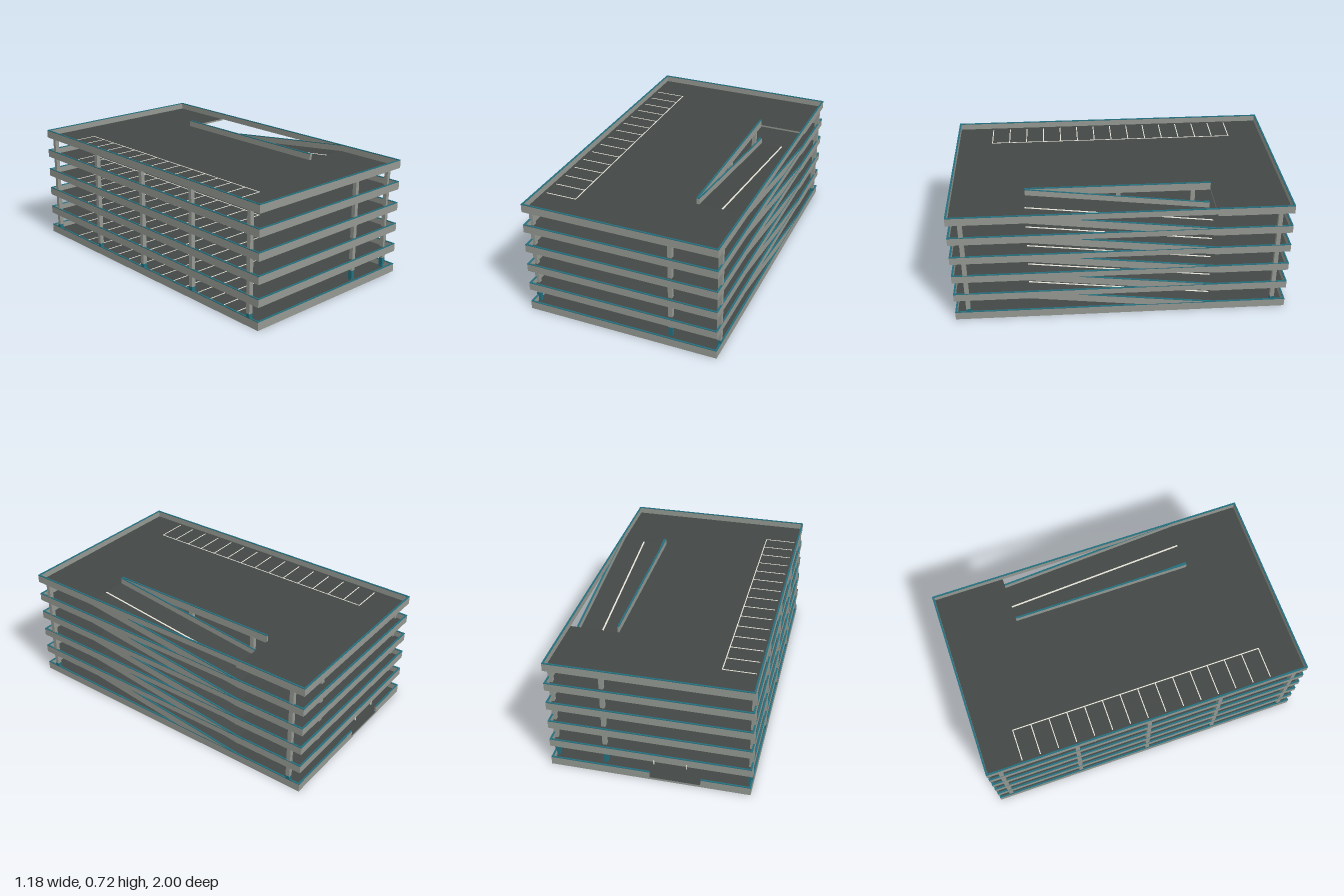
import * as THREE from 'three';

const mat = (name, color) => {
  const m = new THREE.MeshStandardMaterial({ color });
  m.name = name;
  return m;
};

export function createModel() {
  const concrete = mat('concrete', 0x959992);
  const soffit = mat('soffit', 0x72726e);
  const asphalt = mat('asphalt', 0x434847);
  const teal = mat('teal trim', 0x23707f);
  const white = mat('white paint', 0xe4e2d6);
  // box faces: +x, -x, +y, -y, +z, -z
  const slabMats = [concrete, concrete, asphalt, soffit, concrete, concrete];

  const X = 0.59, Z = 1, PITCH = 0.1333, BASE = 0.003;
  const SLAB = 0.011, RISE = 0.05, T = 0.01, CAP = 0.004;
  const HOLE_X = 0.293, HOLE_Z = 0.555, SLOPE = PITCH / (2 * HOLE_Z);
  const COL = 0.025;

  const model = new THREE.Group();
  model.name = 'parkingGarage';

  // box from its limits; slope shears it upwards along z
  function box(parent, name, material, [x0, x1], [y0, y1], [z0, z1], slope = 0) {
    const g = new THREE.BoxGeometry(x1 - x0, y1 - y0, z1 - z0);
    if (slope) {
      const p = g.attributes.position;
      for (let i = 0; i < p.count; i++) p.setY(i, p.getY(i) + slope * p.getZ(i));
      g.computeVertexNormals();
    }
    const m = new THREE.Mesh(g, material);
    m.name = name;
    m.position.set((x0 + x1) / 2, (y0 + y1) / 2, (z0 + z1) / 2);
    parent.add(m);
  }

  // concrete parapet with a teal cap
  function parapet(parent, name, xs, [y0, y1], zs, slope = 0) {
    box(parent, name, concrete, xs, [y0, y1 - CAP], zs, slope);
    box(parent, name + 'Cap', teal, xs, [y1 - CAP, y1], zs, slope);
  }

  function parkingBays(parent, y) {
    const ys = [y, y + 0.0015], count = 15, step = 0.111;
    for (let i = 0; i < count; i++) {
      const z = -0.778 + i * step;
      box(parent, 'bayLine', white, [-0.56, -0.37], ys, [z - 0.003, z + 0.003]);
    }
    box(parent, 'bayEndLine', white, [-0.373, -0.367], ys, [-0.781, 0.779]);
  }

  function ramp(parent, y0) {
    // y0 is the underside at the upper end
    const mid = y0 - PITCH / 2, zs = [-HOLE_Z, HOLE_Z];
    box(parent, 'rampSlab', slabMats, [HOLE_X, X - 0.001], [mid, mid + SLAB], zs, SLOPE);
    box(parent, 'rampLine', white, [0.435, 0.445], [mid + SLAB, mid + SLAB + 0.0015], zs, SLOPE);
    parapet(parent, 'rampInnerWall', [HOLE_X, HOLE_X + 0.008], [mid, mid + RISE], zs, SLOPE);
    parapet(parent, 'rampOuterWall', [X - T - 0.001, X - 0.001], [mid, mid + RISE], zs, SLOPE);
  }

  for (let level = 0; level < 6; level++) {
    const floor = new THREE.Group();
    floor.name = 'level' + level;
    model.add(floor);
    const ground = level === 0;
    const y0 = BASE + level * PITCH, yTop = y0 + RISE + (level === 5 ? 0.001 : 0);
    const bottom = ground ? 0 : y0, deck = y0 + SLAB;

    // floor slab, cut out above each ramp
    if (ground) {
      box(floor, 'floorSlab', slabMats, [-X, X], [0, deck], [-Z, Z]);
    } else {
      box(floor, 'floorSlab', slabMats, [-X, HOLE_X], [y0, deck], [-Z, Z]);
      for (const s of [-1, 1]) {
        const zs = s > 0 ? [HOLE_Z, Z] : [-Z, -HOLE_Z];
        box(floor, 'floorSlabEnd', slabMats, [HOLE_X, X], [y0, deck], zs);
      }
      parapet(floor, 'openingGuard', [HOLE_X - T, HOLE_X], [y0, yTop], [-HOLE_Z, HOLE_Z]);
      ramp(floor, y0);
    }
    parkingBays(floor, deck);

    // perimeter parapets, with an entrance gap at the back of the ground level
    const ys = [deck, yTop];
    parapet(floor, 'frontParapet', [-X, X], ys, [Z - T, Z]);
    if (ground) {
      parapet(floor, 'backParapet', [-X, -0.3], ys, [-Z, -Z + T]);
      parapet(floor, 'backParapet', [0, X], ys, [-Z, -Z + T]);
    } else {
      parapet(floor, 'backParapet', [-X, X], ys, [-Z, -Z + T]);
    }
    parapet(floor, 'sideParapet', [-X, -X + T], ys, [-Z + T, Z - T]);
    parapet(floor, 'sideParapet', [X - T, X], ys, [-Z + T, Z - T]);

    // columns up to the next slab, with painted feet on the ground level
    if (level < 5) {
      for (const z of [-0.92, -0.45, 0, 0.45, 0.92]) {
        for (const x of [-0.577, 0.282, 0.577]) {
          if (x > 0.5 && Math.abs(z) < 0.9) continue;
          const xs = [x - COL / 2, x + COL / 2], zs = [z - COL / 2, z + COL / 2];
          const foot = ground ? 0.073 : deck;
          if (ground) box(floor, 'columnFoot', teal, xs, [deck, foot], zs);
          box(floor, 'column', concrete, xs, [foot, y0 + PITCH], zs);
        }
      }
    }
  }

  // small markers hanging over the entrance
  for (const x of [-0.22, -0.03]) {
    box(model, 'entranceMarker', white, [x - 0.003, x + 0.003], [0.118, 0.15], [-Z - 0.001, -Z + 0.004]);
  }
  return model;
}
